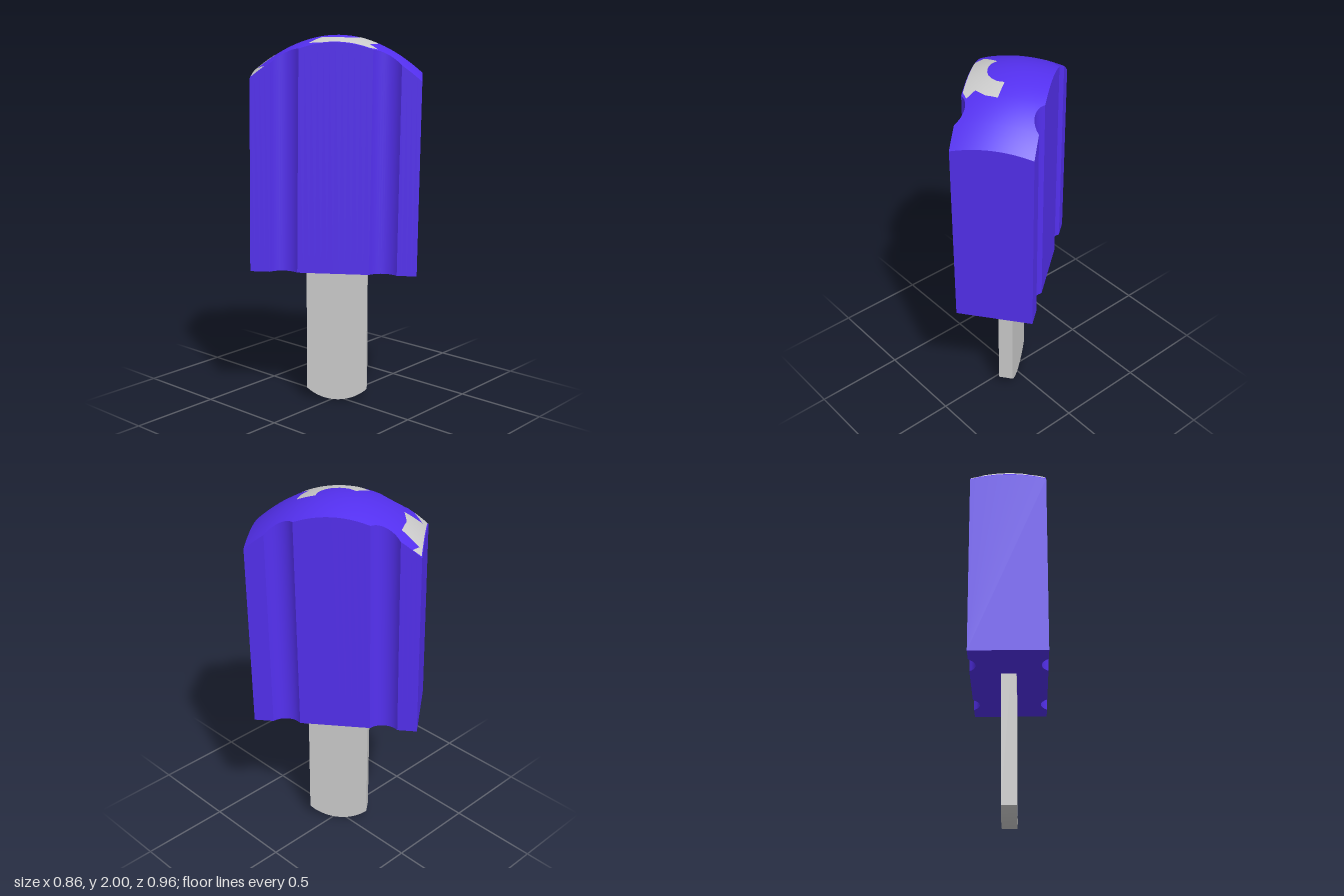
import * as THREE from 'three';
import { toCreasedNormals } from 'three/addons/utils/BufferGeometryUtils.js';

const HALF_LENGTH = 0.44, HALF_THICK = 0.204, BOTTOM = 0.765;
const TURN = -0.923, LEAN = -0.013, PIVOT = 1.3;
const GROOVE = { centre: 0.2625, half: 0.073, depth: 0.035 };

// Domed top of the ice, along the length u and across the thickness w
const topHeight = (u, w) => 2.0 - 0.19 * (u / HALF_LENGTH) ** 2 - 0.03 * (w / HALF_THICK) ** 2;

// Half thickness along the length, with a circular groove on each half
function halfThickness(u) {
  const { centre, half, depth } = GROOVE;
  const d = Math.abs(u) - centre;
  if (Math.abs(d) >= half) return HALF_THICK;
  const r = (half * half + depth * depth) / (2 * depth);
  return HALF_THICK - (Math.sqrt(r * r - d * d) - (r - depth));
}

// Ice block lofted from cross-sections along its length
function iceGeometry() {
  const stations = [0];
  for (let i = 1; i <= 6; i++) stations.push(i / 6 * (GROOVE.centre - GROOVE.half));
  for (let i = 1; i <= 12; i++) stations.push(GROOVE.centre - GROOVE.half + i / 12 * 2 * GROOVE.half);
  const grooveEnd = GROOVE.centre + GROOVE.half;
  for (let i = 1; i <= 4; i++) stations.push(grooveEnd + i / 4 * (HALF_LENGTH - grooveEnd));
  const us = [...stations.slice(1).reverse().map(u => -u), ...stations];

  const across = 16, ring = across + 3, pos = [], index = [];
  for (const u of us) {
    const h = halfThickness(u);
    for (let k = 0; k <= across; k++) {
      const w = h * (2 * k / across - 1);
      pos.push(u, topHeight(u, w), w);
    }
    pos.push(u, BOTTOM, h, u, BOTTOM, -h);
  }
  for (let i = 0; i < us.length - 1; i++) {
    for (let k = 0; k < ring; k++) {
      const n = (k + 1) % ring;
      const a = i * ring + k, b = i * ring + n, c = b + ring, d = a + ring;
      index.push(a, b, c, a, c, d);
    }
  }
  // flat ends, fanned from a bottom corner
  const last = (us.length - 1) * ring;
  for (let k = 0; k < ring - 2; k++) {
    index.push(last + ring - 1, last + k, last + k + 1);
    index.push(ring - 1, k + 1, k);
  }
  const g = new THREE.BufferGeometry();
  g.setAttribute('position', new THREE.Float32BufferAttribute(pos, 3));
  g.setIndex(index);
  return toCreasedNormals(g, 0.5);
}

// Thin patch draped over the domed top; outline given in plan (x, z)
function patchGeometry(outline) {
  const c = Math.cos(TURN), s = Math.sin(TURN);
  const shape = new THREE.Shape(outline.map(([x, z]) =>
    new THREE.Vector2(c * x - s * z - 0.008, s * x + c * z)));
  const flat = new THREE.ShapeGeometry(shape).toNonIndexed().attributes.position;
  let tris = [];
  for (let i = 0; i < flat.count; i += 3) {
    tris.push([0, 1, 2].map(k => new THREE.Vector2(flat.getX(i + k), flat.getY(i + k))));
  }
  const mid = (a, b) => a.clone().add(b).multiplyScalar(0.5);
  for (let pass = 0; pass < 4; pass++) {
    tris = tris.flatMap(([a, b, d]) => {
      const ab = mid(a, b), bd = mid(b, d), da = mid(d, a);
      return [[a, ab, da], [ab, b, bd], [da, bd, d], [ab, bd, da]];
    });
  }
  // reverse the corners so that the patch faces up
  const pos = tris.flatMap(([a, b, d]) => [a, d, b].flatMap(p => [p.x, topHeight(p.x, p.y) + 0.002, p.y]));
  const g = new THREE.BufferGeometry();
  g.setAttribute('position', new THREE.Float32BufferAttribute(pos, 3));
  return toCreasedNormals(g, 0.5);
}

// Flat stick with a rounded lower end
function stickGeometry() {
  const half = 0.165, rise = 0.065, depth = 0.08;
  const r = (half * half + rise * rise) / (2 * rise), angle = Math.asin(half / r);
  const shape = new THREE.Shape();
  shape.absarc(0, r, r, -Math.PI / 2 - angle, -Math.PI / 2 + angle, false);
  shape.lineTo(half, 1.2);
  shape.lineTo(-half, 1.2);
  shape.closePath();
  const g = new THREE.ExtrudeGeometry(shape, { depth, bevelEnabled: false, curveSegments: 16 });
  g.translate(0, 0, -depth / 2);
  return toCreasedNormals(g, 0.5);
}

export function createModel() {
  const grey = new THREE.MeshStandardMaterial({ color: 0xcccccc });
  const patchGrey = new THREE.MeshStandardMaterial({ color: 0xcccccc, side: THREE.DoubleSide });
  const blue = new THREE.MeshStandardMaterial({ color: 0x5430f0 });
  const model = new THREE.Group();
  model.name = 'iceLolly';
  model.rotation.y = TURN;

  const add = (parent, name, geometry, material) => {
    const mesh = new THREE.Mesh(geometry, material);
    mesh.name = name;
    parent.add(mesh);
    return mesh;
  };
  add(model, 'stick', stickGeometry(), grey);

  // The ice leans slightly along its length, about its middle
  const ice = new THREE.Group();
  ice.name = 'ice';
  ice.rotation.z = LEAN;
  ice.position.set(-PIVOT * Math.sin(-LEAN), PIVOT * (1 - Math.cos(LEAN)), 0);
  model.add(ice);
  add(ice, 'iceBlock', iceGeometry(), blue);
  add(ice, 'endPatch', patchGeometry([
    [-0.415, -0.222], [-0.1, -0.462], [-0.07, -0.43], [-0.13, -0.42], [-0.1, -0.33],
    [-0.19, -0.28], [-0.255, -0.205], [-0.33, -0.262], [-0.372, -0.166],
  ]), patchGrey);
  add(ice, 'sidePatch', patchGeometry([
    [-0.215, -0.005], [-0.115, -0.005], [-0.11, 0.04], [-0.09, 0.075], [-0.06, 0.105],
    [-0.03, 0.12], [0, 0.125], [0.035, 0.12], [0.065, 0.1], [0.115, 0.185], [0.06, 0.215],
    [-0.005, 0.225], [-0.005, 0.28], [-0.05, 0.265], [-0.205, 0.064],
  ]), patchGrey);
  return model;
}
